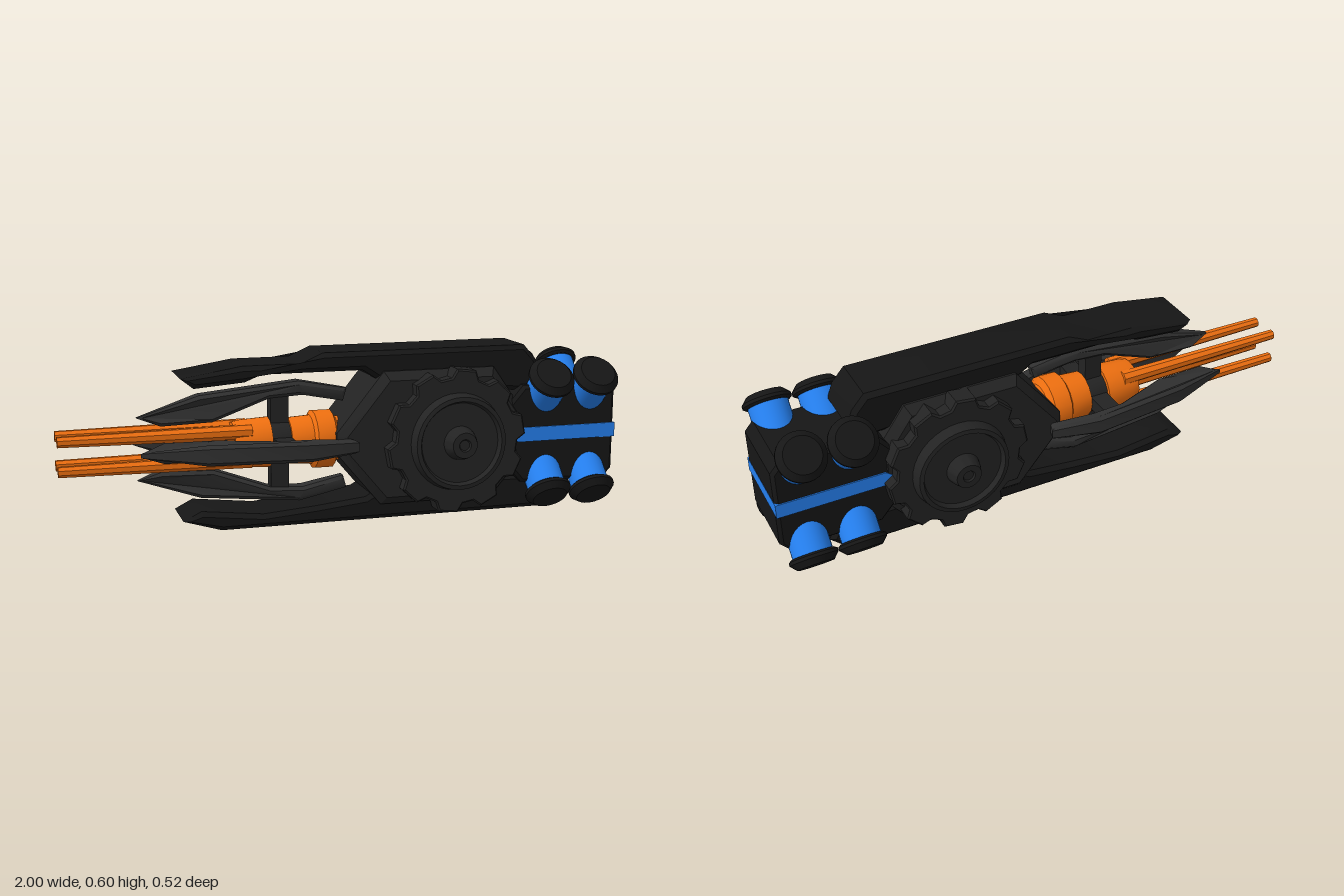
import * as THREE from 'three';
import { toCreasedNormals } from 'three/addons/utils/BufferGeometryUtils.js';

const mat = (color) => new THREE.MeshStandardMaterial({ color, side: THREE.DoubleSide });
const CY = 0.286; // height of the long axis

export function createModel() {
  const model = new THREE.Group();
  const black = mat(0x161616), dark = mat(0x232323), grey = mat(0x303030);
  const blue = mat(0x2580f0), orange = mat(0xf07010);

  const add = (name, geometry, material, parent = model) => {
    const mesh = new THREE.Mesh(toCreasedNormals(geometry, 0.6), material);
    mesh.name = name;
    parent.add(mesh);
    return mesh;
  };
  const group = (name, parent = model) => {
    const g = new THREE.Group();
    g.name = name;
    parent.add(g);
    return g;
  };
  // Side outline extruded symmetrically about z = 0, with chamfered rims
  const slab = (points, half, bevel) => {
    const shape = new THREE.Shape(points.map(([x, y]) => new THREE.Vector2(x, y)));
    const g = new THREE.ExtrudeGeometry(shape, {
      depth: 2 * (half - bevel), bevelEnabled: bevel > 0, bevelSegments: 1,
      bevelSize: bevel, bevelThickness: bevel, bevelOffset: -bevel,
    });
    return g.translate(0, 0, -(half - bevel));
  };
  const lathe = (points, sides) =>
    new THREE.LatheGeometry(points.map(([r, y]) => new THREE.Vector2(r, y)), sides);

  // Hull
  add('hull', slab([[-0.05, 0.25], [0.11, 0.06], [0.53, 0.06], [0.64, 0.19],
    [0.64, 0.38], [0.53, 0.535], [0.12, 0.535], [-0.05, 0.325]], 0.145, 0.03), dark);

  // Rails above and below
  add('topRail', slab([[-0.59, 0.538], [-0.545, 0.502], [-0.37, 0.516], [-0.31, 0.54],
    [0.05, 0.54], [0.14, 0.48], [0.66, 0.44], [0.72, 0.5], [0.7, 0.555], [0.655, 0.606],
    [-0.094, 0.606], [-0.17, 0.572], [-0.377, 0.572]], 0.107, 0.016), black);
  add('bottomRail', slab([[-0.59, 0.043], [-0.457, 0.003], [0.757, 0.003], [0.82, 0.06],
    [0.78, 0.13], [0.14, 0.13], [0.06, 0.085], [-0.125, 0.065], [-0.31, 0.05],
    [-0.527, 0.075]], 0.107, 0.016), black);

  // Rear block with a stripe wrapped round it
  add('rearBlock', slab([[0.56, 0.2], [0.64, 0.108], [0.97, 0.108], [1, 0.14],
    [1, 0.43], [0.97, 0.464], [0.64, 0.464], [0.56, 0.37]], 0.142, 0.012), black);
  add('stripe', slab([[0.585, CY], [0.62, 0.26], [1.001, 0.26], [1.001, 0.312],
    [0.62, 0.312]], 0.147, 0), blue);

  // Canisters, splayed at 45 degrees in two rows of four
  for (const x of [0.73, 0.903]) {
    for (const up of [1, -1]) {
      for (const side of [1, -1]) {
        const c = group('canister');
        c.position.set(x, CY + up * 0.035, 0);
        c.rotation.x = side * (up > 0 ? Math.PI / 4 : 3 * Math.PI / 4);
        add('canisterBody', new THREE.CylinderGeometry(0.069, 0.069, 0.16, 28)
          .translate(0, 0.16, 0), blue, c);
        add('canisterCap', lathe([[0, 0.232], [0.074, 0.232], [0.084, 0.239], [0.084, 0.25],
          [0.063, 0.272], [0, 0.272]], 28), black, c);
      }
    }
  }

  // Toothed wheels on both flanks
  const teeth = 10, outline = [];
  for (let i = 0; i < teeth; i++) {
    for (const [t, r] of [[-0.36, 0.228], [-0.22, 0.258], [0.22, 0.258], [0.36, 0.228]]) {
      const a = ((i + t) / teeth) * Math.PI * 2 + 1.45;
      outline.push([Math.cos(a) * r, Math.sin(a) * r]);
    }
  }
  for (const side of [0, 1]) {
    const w = group('wheel');
    w.position.set(0.37, CY, 0);
    w.rotation.y = side * Math.PI;
    add('toothedRim', slab(outline, 0.04, 0.006).translate(0, 0, 0.15), dark, w);
    add('wheelDisc', lathe([[0.175, 0.185], [0.165, 0.228], [0.15, 0.23], [0.142, 0.212],
      [0.06, 0.212], [0.055, 0.235], [0.045, 0.262], [0.022, 0.262], [0.018, 0.255],
      [0, 0.255]], 36).rotateX(Math.PI / 2), dark, w);
  }

  // Nose: four petals, struts and rods around the long axis
  const nose = group('nose');
  nose.position.y = CY;
  const petalProfile = [[-0.73, 0.11], [-0.65, 0.08], [-0.47, 0.085], [-0.27, 0.158],
    [-0.15, 0.165], [0, 0.135], [0.013, 0.18], [-0.163, 0.215], [-0.516, 0.18]];
  for (let i = 0; i < 4; i++) {
    const arm = group('noseArm', nose);
    arm.rotation.x = (i * Math.PI) / 2;

    // Petal narrows at its tip and slightly at its root
    const petal = slab(petalProfile, 0.036, 0.012);
    const p = petal.attributes.position;
    for (let k = 0; k < p.count; k++) {
      const x = p.getX(k);
      const s = x < -0.68 ? 0.3 : x > -0.05 ? 0.65 : 1;
      p.setZ(k, p.getZ(k) * s);
    }
    petal.computeVertexNormals();
    add('petal', petal, grey, arm);
    add('petalStrut', new THREE.BoxGeometry(0.065, 0.12, 0.05).translate(-0.233, 0.115, 0), dark, arm);

    // Rod sits between two petals, with a chamfered, tapering tip
    const rod = new THREE.CylinderGeometry(0.027, 0.019, 0.66, 8)
      .rotateY(Math.PI / 8).rotateZ(-Math.PI / 2).translate(-0.67, 0.051, 0.051);
    add('rod', rod, orange, arm);
  }

  // Core collars along the long axis
  const core = (name, points, material) =>
    add(name, lathe(points, 16).rotateZ(-Math.PI / 2), material, nose);
  core('frontCollar', [[0, -0.4], [0.078, -0.4], [0.084, -0.37], [0.09, -0.27], [0, -0.27]], orange);
  core('coreRing', [[0, -0.275], [0.075, -0.275], [0.075, -0.19], [0, -0.19]], dark);
  core('rearCollar', [[0, -0.2], [0.083, -0.2], [0.088, -0.12], [0.104, -0.11],
    [0.104, -0.045], [0.08, -0.03], [0.08, 0.02], [0, 0.02]], orange);

  return model;
}
